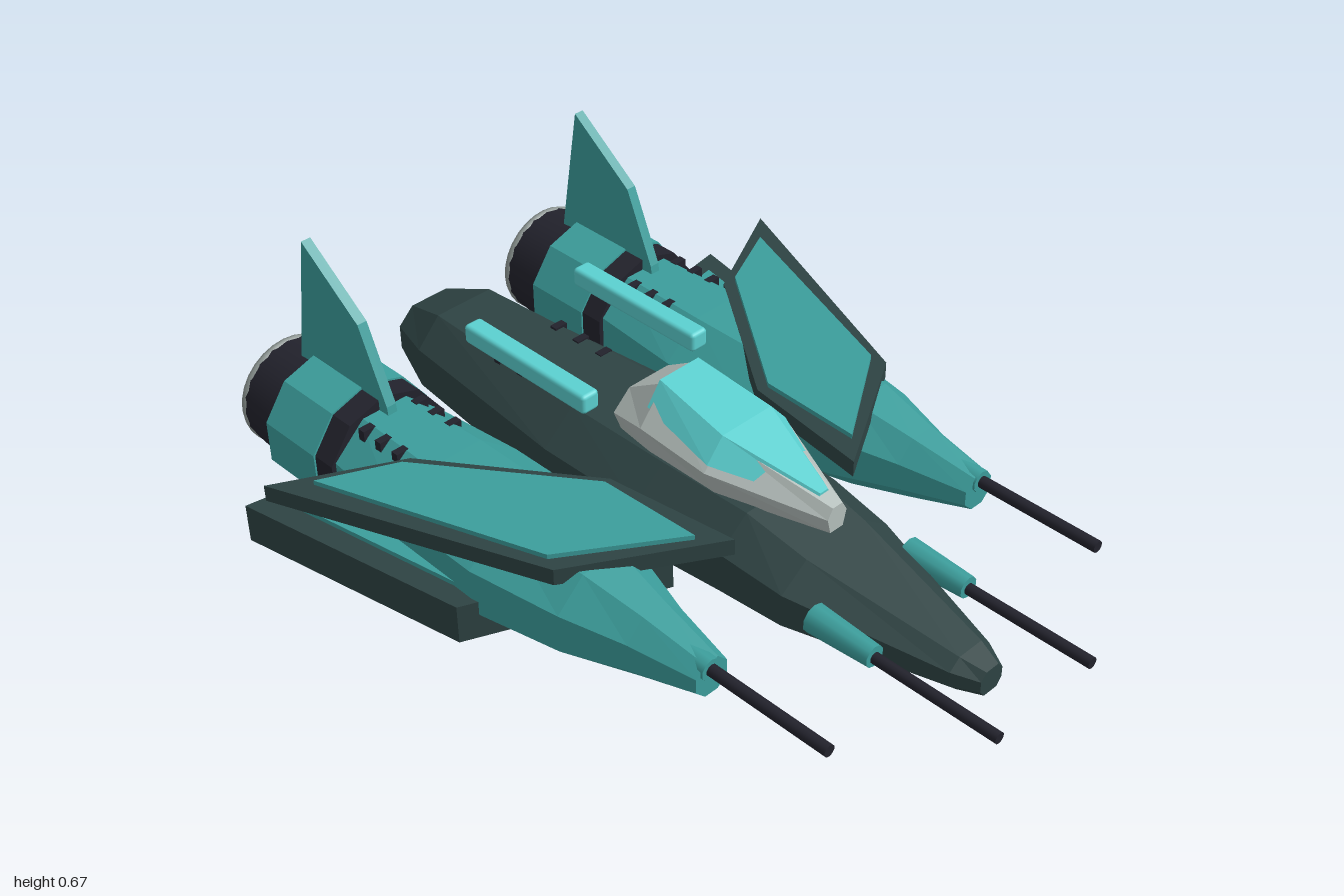
import * as THREE from 'three';
import { RoundedBoxGeometry } from 'three/addons/geometries/RoundedBoxGeometry.js';

const mat = (name, color) => {
  const m = new THREE.MeshStandardMaterial({ color });
  m.name = name;
  return m;
};

// Closed hull through rings of [x, y, z], ordered front to back, counter-clockwise from the front
function loft(rings) {
  const pos = [];
  const tri = (a, b, c) => pos.push(...a, ...b, ...c);
  const n = rings[0].length, first = rings[0], last = rings[rings.length - 1];
  for (let k = 0; k < rings.length - 1; k++) {
    const A = rings[k], B = rings[k + 1];
    for (let i = 0; i < n; i++) {
      const j = (i + 1) % n;
      tri(A[i], B[i], A[j]);
      tri(A[j], B[i], B[j]);
    }
  }
  for (let i = 1; i < n - 1; i++) {
    tri(first[0], first[i], first[i + 1]);
    tri(last[0], last[i + 1], last[i]);
  }
  const g = new THREE.BufferGeometry();
  g.setAttribute('position', new THREE.Float32BufferAttribute(pos, 3));
  g.computeVertexNormals();
  return g;
}

// Faceted or round cylinder along z, from zFront to zBack
function barrel(rFront, rBack, zFront, zBack, sides, faceted = false) {
  let g = new THREE.CylinderGeometry(rFront, rBack, zFront - zBack, sides);
  g.rotateX(Math.PI / 2).translate(0, 0, (zFront + zBack) / 2);
  if (faceted) {
    g = g.toNonIndexed();
    g.computeVertexNormals();
  }
  return g;
}

// Flat plate from a plan outline of [x, z], mirrored by s
function plate(outline, s, y, thick) {
  const shape = new THREE.Shape(outline.map(([x, z]) => new THREE.Vector2(x * s, -z)));
  const g = new THREE.ExtrudeGeometry(shape, { depth: thick, bevelEnabled: false });
  return g.rotateX(-Math.PI / 2).translate(0, y, 0);
}

export function createModel() {
  const teal = mat('teal paint', 0x3c9e9c);
  const dark = mat('dark green hull', 0x2e4343);
  const black = mat('black metal', 0x22222c);
  const pale = mat('pale grey frame', 0xb6c0bd);
  const bright = mat('bright cyan', 0x5bd0d0);
  const steel = mat('steel grey', 0x8b9491);

  const ship = new THREE.Group();
  ship.name = 'starfighter';
  const add = (name, geo, m, x = 0, y = 0, z = 0, parent = ship) => {
    const mesh = new THREE.Mesh(geo, m);
    mesh.name = name;
    mesh.position.set(x, y, z);
    parent.add(mesh);
    return mesh;
  };

  // Fuselage: z, half width, bottom, top
  const hull = [
    [0.86, 0.035, 0.13, 0.195], [0.8, 0.065, 0.12, 0.21], [0.42, 0.17, 0.08, 0.28],
    [0.25, 0.185, 0.07, 0.315], [0, 0.2, 0.055, 0.32], [-0.3, 0.2, 0.045, 0.32],
    [-0.82, 0.15, 0.06, 0.31], [-0.96, 0.1, 0.11, 0.26],
  ].map(([z, w, b, t]) => {
    const h = t - b, lo = b + h * 0.3, hi = b + h * 0.72;
    return [[w, lo], [w, hi], [w * 0.55, t], [-w * 0.55, t], [-w, hi], [-w, lo], [-w * 0.58, b], [w * 0.58, b]]
      .map(([x, y]) => [x, y, z]);
  });
  add('fuselage', loft(hull), dark);

  // Canopy frame: z, base width, shoulder width and height, top width and height
  const frame = [
    [0.42, 0.02, 0.03, 0.35, 0.015, 0.375], [0.15, 0.1, 0.133, 0.385, 0.075, 0.45],
    [-0.05, 0.1, 0.132, 0.4, 0.06, 0.487], [-0.16, 0.085, 0.11, 0.375, 0.06, 0.42],
  ].map(([z, b, w, y, t, h]) =>
    [[b, 0.31], [w, y], [t, h], [-t, h], [-w, y], [-b, 0.31]].map(([px, py]) => [px, py, z]));
  add('canopyFrame', loft(frame), pale);

  // Canopy glass: z, lower width and height, top width and height
  const glass = [
    [0.38, 0.022, 0.372, 0.012, 0.392], [0.15, 0.124, 0.402, 0.076, 0.458], [-0.06, 0.1, 0.437, 0.06, 0.492],
  ].map(([z, w, y, t, h]) => [[w, y], [t, h], [-t, h], [-w, y]].map(([px, py]) => [px, py, z]));
  add('canopyGlass', loft(glass), bright);

  // Belly hatch
  const hatch = [[-0.04, 0.085], [-0.07, 0.1], [-0.32, 0.1], [-0.355, 0.085]].map(([z, w]) =>
    [[w, 0.02], [w, 0.06], [-w, 0.06], [-w, 0.02]].map(([x, y]) => [x, y, z]));
  add('bellyHatch', loft(hatch), black);

  const upperWing = [[0.79, -0.56], [0.53, 0.1], [0.19, 0.3], [0.235, -0.04], [0.5, -0.41]];
  const upperPanel = [[0.71, -0.485], [0.515, 0.065], [0.25, 0.24], [0.26, -0.03], [0.53, -0.4]];
  const lowerWing = [[0.757, -0.71], [0.64, -0.1], [0.18, 0.1], [0.22, -0.33], [0.45, -0.66]];
  const lowerPanel = [[0.685, -0.645], [0.59, -0.12], [0.24, 0.03], [0.26, -0.31], [0.47, -0.61]];

  // Nacelle body: z, centre x, centre y, half width, half height
  const pod = [
    [0.47, 0.432, 0.2, 0.045, 0.045], [0.3, 0.43, 0.19, 0.08, 0.085], [0.14, 0.43, 0.185, 0.128, 0.12],
    [-0.1, 0.42, 0.18, 0.178, 0.14], [-0.35, 0.418, 0.18, 0.175, 0.142], [-0.62, 0.418, 0.18, 0.15, 0.138],
  ];
  const fin = new THREE.Shape(
    [[0.57, 0.3], [0.575, 0.34], [0.655, 0.53], [0.84, 0.67], [0.905, 0.3]].map(([a, b]) => new THREE.Vector2(a, b)));

  for (const s of [1, -1]) {
    const side = new THREE.Group();
    side.name = s > 0 ? 'leftSide' : 'rightSide';
    ship.add(side);
    const put = (name, geo, m, x = 0, y = 0, z = 0) => add(name, geo, m, x * s, y, z, side);

    // Wings with raised panels
    put('upperWing', plate(upperWing, s, 0.28, 0.042), dark);
    put('upperWingPanel', plate(upperPanel, s, 0.322, 0.012), teal);
    put('lowerWing', plate(lowerWing, s, 0.058, 0.102), dark);
    put('lowerWingPanel', plate(lowerPanel, s, 0.16, 0.012), teal);

    // Nacelle
    const rings = pod.map(([z, cx, cy, rx, ry]) => Array.from({ length: 8 }, (_, i) => {
      const a = (i + 0.5) * Math.PI / 4, k = 1 / Math.cos(Math.PI / 8);
      return [cx * s + rx * k * Math.cos(a), cy + ry * k * Math.sin(a), z];
    }));
    put('nacelle', loft(rings), teal);

    // Engine bands, nozzle and glow
    const ex = 0.418, ey = 0.178;
    put('engineCollar', barrel(0.172, 0.172, -0.605, -0.667, 10, true), black, ex, ey);
    put('engineBand', barrel(0.177, 0.177, -0.667, -0.85, 10, true), teal, ex, ey);
    put('nozzle', barrel(0.152, 0.142, -0.85, -0.984, 20), black, ex, ey);
    put('nozzleRing', new THREE.TorusGeometry(0.131, 0.014, 8, 28), steel, ex, ey, -0.986);
    put('engineGlow', barrel(0.076, 0.076, -0.982, -0.989, 20), bright, ex, ey);
    for (let i = 0; i < 8; i++) {
      const a = (i + 0.5) * Math.PI / 4;
      put('glowSlot', new THREE.BoxGeometry(0.018, 0.014, 0.006), bright,
        ex + 0.102 * Math.cos(a), ey + 0.102 * Math.sin(a), -0.985).rotation.z = a * s;
    }

    // Tail fin
    const finGeo = new THREE.ExtrudeGeometry(fin, { depth: 0.026, bevelEnabled: false });
    finGeo.translate(0, 0, -0.013).rotateY(Math.PI / 2);
    put('tailFin', finGeo, teal, 0.42);

    // Guns
    put('nacelleGunSleeve', barrel(0.028, 0.034, 0.475, 0.31, 10), teal, 0.437, 0.225);
    put('nacelleGun', barrel(0.015, 0.015, 0.8, 0.46, 10), black, 0.437, 0.225);
    put('noseGunSleeve', barrel(0.027, 0.036, 0.67, 0.5, 10), teal, 0.153, 0.203);
    put('noseGun', barrel(0.014, 0.014, 1, 0.66, 10), black, 0.153, 0.2);

    // Dorsal bar and belly rail
    put('dorsalBar', new RoundedBoxGeometry(0.05, 0.05, 0.41, 2, 0.01), bright, 0.171, 0.431, -0.37);
    put('bellyRail', new THREE.BoxGeometry(0.017, 0.014, 0.19), steel, 0.115, 0.007, -0.195);

    // Vents on fuselage and nacelle
    for (let i = 0; i < 3; i++) {
      put('hullVent', new THREE.BoxGeometry(0.036, 0.02, 0.02), black, 0.09, 0.311, -0.57 + i * 0.08);
      for (const x of [0.344, 0.497])
        put('nacelleVent', new THREE.BoxGeometry(0.034, 0.03, 0.02), black, x, 0.306, -0.57 + i * 0.06);
    }
  }
  return ship;
}
